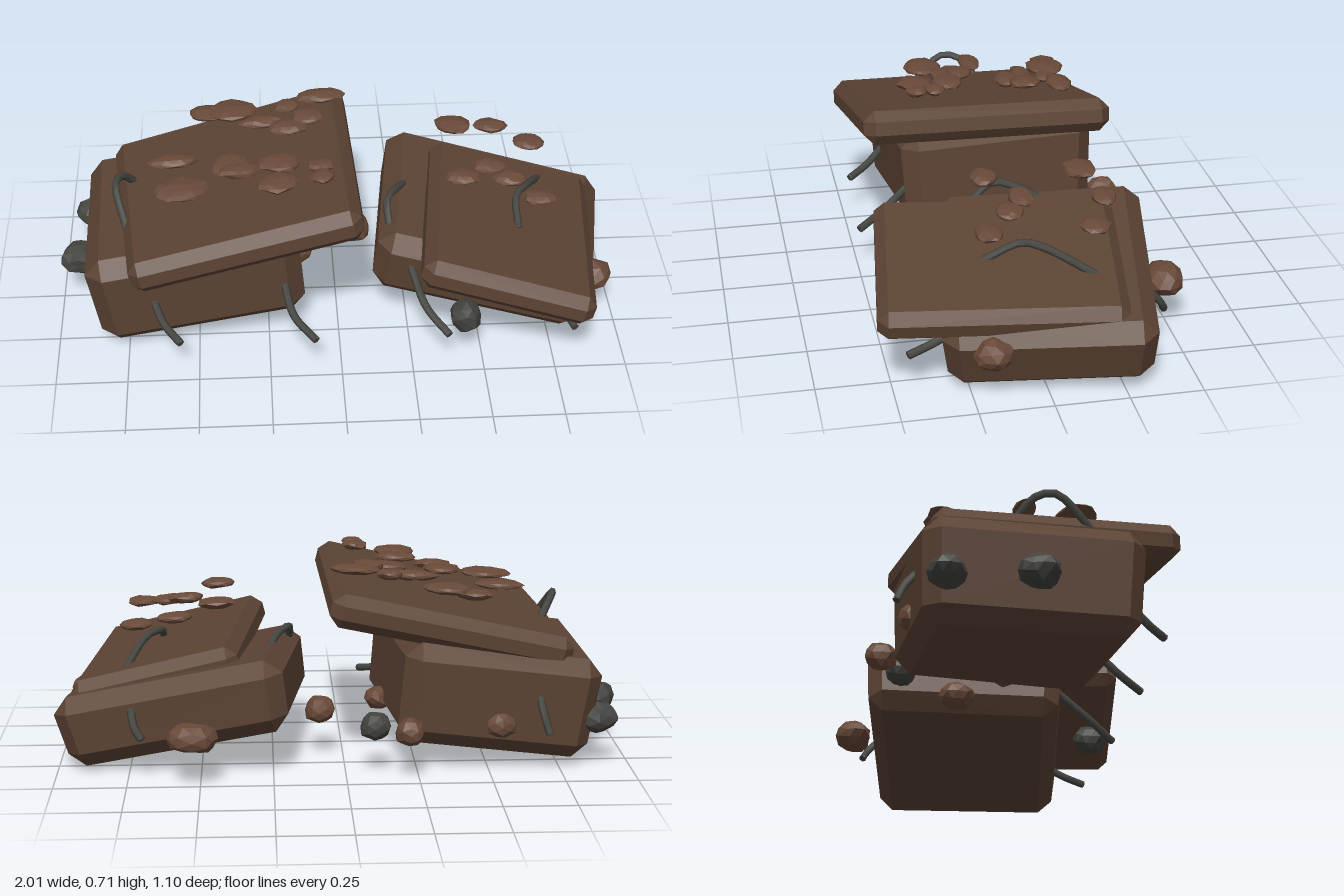
import * as THREE from 'three';
import { ConvexGeometry } from 'three/addons/geometries/ConvexGeometry.js';
import { mergeVertices } from 'three/addons/utils/BufferGeometryUtils.js';

const mat = (name, color, flatShading = false) => {
  const m = new THREE.MeshStandardMaterial({ color, flatShading });
  m.name = name;
  return m;
};

// Box with chamfered edges and corners, slightly out of square:
// flare widens the back, fan deepens the +x side, splay widens the top
function chamferBox([w, h, d], b, [flare, fan, splay]) {
  const pts = [];
  const x = w / 2, y = h / 2, z = d / 2;
  for (const sx of [-1, 1]) for (const sy of [-1, 1]) for (const sz of [-1, 1]) {
    const spread = 1 + splay * sy;
    for (const [px, py, pz] of [[x, y - b, z - b], [x - b, y, z - b], [x - b, y - b, z]]) {
      pts.push(new THREE.Vector3(
        sx * px * (1 - flare * sz) * spread, sy * py, sz * pz * (1 + fan * sx) * spread));
    }
  }
  return new ConvexGeometry(pts);
}

// Faceted lump with a slightly uneven radius
function lumpGeometry(seed) {
  const g = new THREE.IcosahedronGeometry(1, 1);
  g.deleteAttribute('normal');
  g.deleteAttribute('uv');
  const lump = mergeVertices(g, 1e-3);
  const p = lump.attributes.position;
  let s = seed * 7919 + 17;
  for (let i = 0; i < p.count; i++) {
    s = (s * 16807) % 2147483647;
    const k = 0.88 + 0.2 * (s / 2147483647);
    p.setXYZ(i, p.getX(i) * k, p.getY(i) * k, p.getZ(i) * k);
  }
  lump.computeVertexNormals();
  return lump;
}

export function createModel() {
  const group = new THREE.Group();
  const soil = mat('packed soil', 0x5c4334);
  const clodMat = mat('loose soil', 0x684938, true);
  const stoneMat = mat('stone', 0x42423e, true);
  const rootMat = mat('root', 0x464642);

  const add = (name, geo, material) => {
    const m = new THREE.Mesh(geo, material);
    m.name = name;
    group.add(m);
    return m;
  };

  // Two base blocks, each with a tilted slab on top: position, size, rotation, bevel, warp
  const blocks = [
    ['rightBase', [-0.516, 0.245, -0.03], [0.715, 0.36, 0.72], [0, 0.06, 0.13], 0.055, [-0.04, 0, 0.015]],
    ['rightSlab', [-0.347, 0.505, 0.058], [0.84, 0.12, 0.87], [-0.036, 0.06, 0.23], 0.036, [0.032, 0.025, 0]],
    ['leftBase', [0.553, 0.205, -0.058], [0.79, 0.255, 0.7], [0.035, -0.15, -0.21], 0.054, [0.02, -0.015, 0.018]],
    ['leftSlab', [0.615, 0.32, 0.11], [0.61, 0.118, 0.82], [-0.018, -0.115, -0.25], 0.036, [-0.01, 0, 0]],
  ];
  for (const [name, pos, size, rot, bevel, warp] of blocks) {
    const m = add(name, chamferBox(size, bevel, warp), soil);
    m.position.set(...pos);
    m.rotation.set(...rot);
  }

  // Flat clods hovering in a sheet above each slab: x, z, half width, half depth
  const sheets = [
    { name: 'rightClod', tilt: 0.05, y: (x) => 0.695 + 0.21 * (x + 0.04), items: [
      [-0.45, -0.27, 0.07, 0.05], [-0.36, -0.255, 0.085, 0.07], [-0.04, -0.235, 0.088, 0.045],
      [-0.16, -0.21, 0.048, 0.04], [-0.25, -0.14, 0.085, 0.037], [-0.16, -0.07, 0.072, 0.045],
      [-0.09, -0.12, 0.058, 0.057], [-0.57, -0.005, 0.088, 0.042], [-0.54, 0.18, 0.095, 0.072],
      [-0.37, 0.09, 0.07, 0.068], [-0.34, 0.14, 0.075, 0.042], [-0.2, 0.14, 0.078, 0.056],
      [-0.21, 0.26, 0.073, 0.062], [-0.06, 0.21, 0.048, 0.036], [-0.055, 0.275, 0.042, 0.042]] },
    { name: 'leftClod', tilt: -0.05, y: (x) => 0.573 - 0.27 * (x - 0.44), items: [
      [0.44, -0.2, 0.07, 0.057], [0.585, -0.25, 0.062, 0.043], [0.72, -0.19, 0.058, 0.052],
      [0.555, 0.025, 0.066, 0.045], [0.62, 0.075, 0.062, 0.05], [0.445, 0.13, 0.064, 0.046],
      [0.715, 0.165, 0.06, 0.047]] },
  ];
  for (const { name, tilt, y, items } of sheets) {
    items.forEach(([x, z, rx, rz], i) => {
      const m = add(name + (i + 1), lumpGeometry(i + 3), clodMat);
      m.position.set(x, y(x), z);
      m.scale.set(rx, 0.019, rz);
      m.rotation.z = tilt;
    });
  }

  // Round lumps stuck around the bases: x, z, radii
  const lumps = (name, material, items) => items.forEach(([x, z, rx, ry, rz], i) => {
    const m = add(name + (i + 1), lumpGeometry(i + 11), material);
    m.position.set(x, 0.168, z);
    m.scale.set(rx, ry, rz);
  });
  lumps('sideLump', clodMat, [
    [0.92, 0.185, 0.068, 0.055, 0.068], [0.525, -0.487, 0.092, 0.056, 0.066],
    [-0.215, -0.45, 0.052, 0.052, 0.06], [0.085, -0.15, 0.055, 0.052, 0.068],
    [-0.54, -0.37, 0.055, 0.05, 0.05], [-0.135, -0.01, 0.05, 0.045, 0.055]]);
  lumps('stone', stoneMat, [
    [-0.885, -0.3, 0.075, 0.056, 0.066], [-0.932, -0.01, 0.072, 0.056, 0.07],
    [0.438, 0.4, 0.058, 0.056, 0.063], [-0.1, -0.37, 0.055, 0.053, 0.055]]);

  // Roots: arches on top, then strands hanging from the front and back
  const roots = [
    [[-0.71, 0.46, -0.06], [-0.755, 0.53, 0], [-0.775, 0.54, 0.07], [-0.735, 0.43, 0.2]],
    [[0.29, 0.35, -0.17], [0.225, 0.42, -0.03], [0.185, 0.425, 0.05], [0.19, 0.35, 0.14]],
    [[0.765, 0.335, -0.19], [0.695, 0.415, -0.03], [0.65, 0.42, 0.04], [0.645, 0.365, 0.17]],
    [[-0.66, 0.24, 0.31], [-0.62, 0.17, 0.39], [-0.56, 0.14, 0.47]],
    [[-0.195, 0.265, 0.29], [-0.165, 0.185, 0.39], [-0.09, 0.15, 0.49]],
    [[0.255, 0.28, 0.25], [0.3, 0.195, 0.38], [0.375, 0.145, 0.48]],
    [[0.77, 0.2, 0.26], [0.79, 0.155, 0.36], [0.82, 0.135, 0.45]],
    [[-0.67, 0.3, -0.34], [-0.68, 0.22, -0.41], [-0.7, 0.15, -0.44]],
    [[0.74, 0.26, -0.36], [0.725, 0.19, -0.42], [0.7, 0.15, -0.44]],
  ];
  roots.forEach((pts, i) => {
    const curve = new THREE.CatmullRomCurve3(pts.map((p) => new THREE.Vector3(...p)));
    add('root' + (i + 1), new THREE.TubeGeometry(curve, 10, 0.014, 6), rootMat);
    // Closed tips
    for (const t of [0, 1]) {
      const cap = add('rootTip', new THREE.CircleGeometry(0.014, 6), rootMat);
      cap.position.copy(curve.getPoint(t));
      cap.lookAt(cap.position.clone().addScaledVector(curve.getTangent(t), t ? 1 : -1));
    }
  });

  return group;
}
